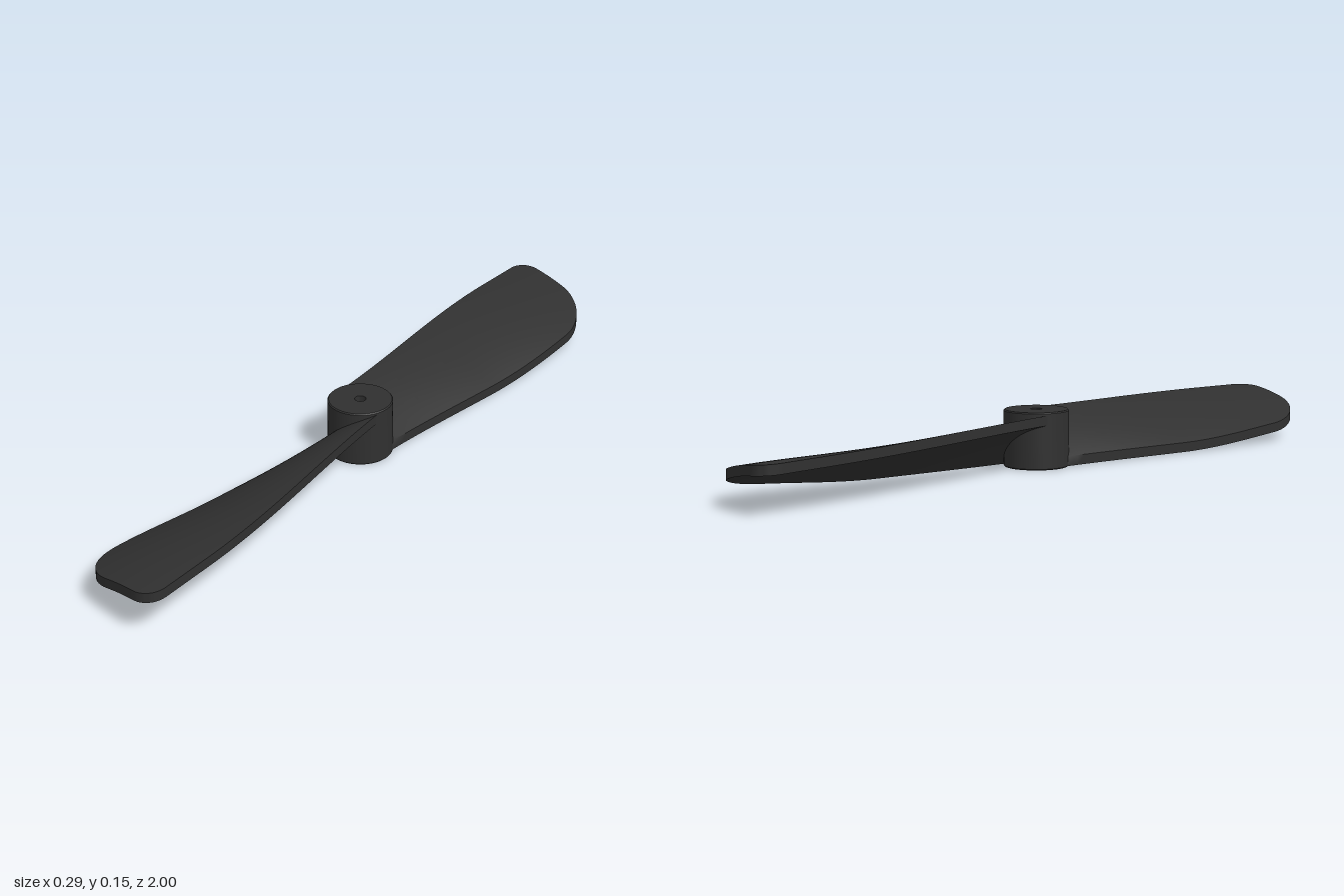
import * as THREE from 'three';
import { toCreasedNormals } from 'three/addons/utils/BufferGeometryUtils.js';

const { lerp, smoothstep } = THREE.MathUtils;
const ROOT = 0.03;
const THICKNESS = 0.026;

// Rounded corner: 0 where it begins, 1 at the blade's edge
const round = (d) => 1 - Math.sqrt(1 - Math.min(1, Math.max(0, d)) ** 2);

// Reach of the blade across its chord, u from -1 (trailing) to 1 (leading)
const reach = (u) =>
  0.981 + 0.03 * u - 0.15 * round((-0.1 - u) / 0.9) - 0.06 * round((u - 0.6) / 0.4);

// Twisted, arched blade: a box bent along its span
function bladeGeometry() {
  const geometry = new THREE.BoxGeometry(2, 1, 1, 32, 1, 32);
  const p = geometry.attributes.position;
  for (let i = 0; i < p.count; i++) {
    const u = Math.sin((p.getX(i) * Math.PI) / 2);
    const z = lerp(ROOT, reach(u), p.getZ(i) + 0.5);
    const halfChord = 0.071 + 0.073 * smoothstep(z, -0.1, 0.8);
    const trailing = 0.002 + 0.03 * smoothstep(z, 0.45, 0.95);
    const leading = lerp(0.118, 0.098, z);
    const arch = lerp(0.018, 0.014, z) * (1 - u * u);
    const y = lerp(trailing, leading, (u + 1) / 2) + arch;
    p.setXYZ(i, 0.003 + u * halfChord, y + (p.getY(i) + 0.5) * THICKNESS, z);
  }
  return toCreasedNormals(geometry, 0.7);
}

// Hub with a shaft hole and slightly eased rims
function hubGeometry() {
  const profile = [
    [0.015, 0.151], [0.015, 0], [0.083, 0], [0.086, 0.003],
    [0.086, 0.148], [0.083, 0.151], [0.015, 0.151],
  ].map(([r, y]) => new THREE.Vector2(r, y));
  return toCreasedNormals(new THREE.LatheGeometry(profile, 48), 0.6);
}

export function createModel() {
  const model = new THREE.Group();
  model.name = 'propeller';
  const black = new THREE.MeshStandardMaterial({ color: 0x303030 });
  black.name = 'blackPlastic';

  const hub = new THREE.Mesh(hubGeometry(), black);
  hub.name = 'hub';
  model.add(hub);

  const geometry = bladeGeometry();
  ['frontBlade', 'backBlade'].forEach((name, i) => {
    const blade = new THREE.Mesh(geometry, black);
    blade.name = name;
    blade.rotation.y = i * Math.PI;
    model.add(blade);
  });
  return model;
}
